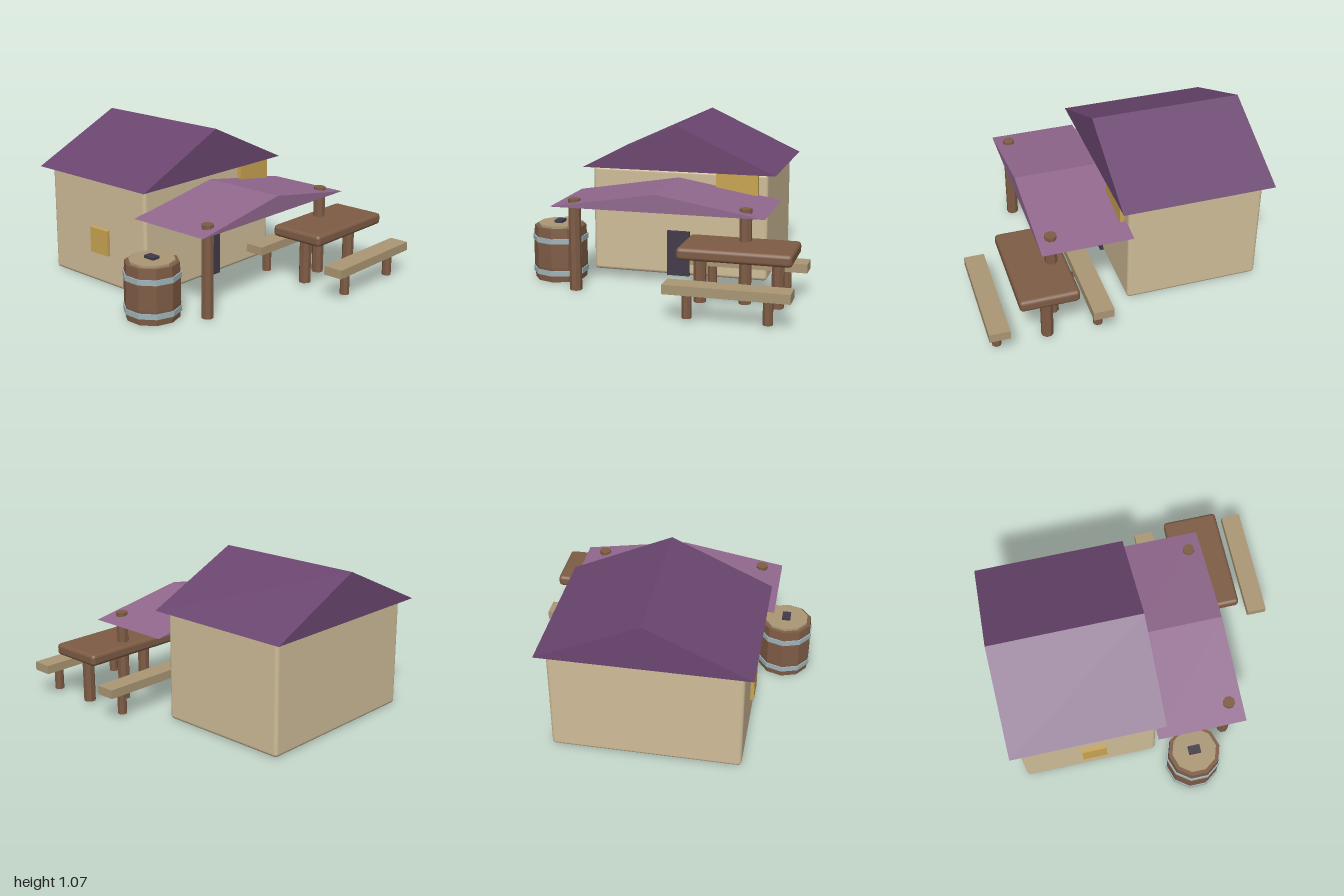
import * as THREE from 'three';
import { RoundedBoxGeometry } from 'three/addons/geometries/RoundedBoxGeometry.js';

const paint = (name, color, flatShading = false) => {
  const m = new THREE.MeshStandardMaterial({ color });
  m.name = name;
  m.flatShading = flatShading;
  return m;
};

export function createModel() {
  const plaster = paint('plaster', 0xd0bd99);
  const roofPurple = paint('roof purple', 0x6b4670, true);
  const awningPurple = paint('awning purple', 0x91688e, true);
  const wood = paint('brown wood', 0x7e5c45, true);
  const tableWood = paint('table wood', 0x7e5c45);
  const paleWood = paint('pale wood', 0xab9775, true);
  const steel = paint('hoop steel', 0x9fb4ba, true);
  const gold = paint('gold', 0xcaa552, true);
  const dark = paint('dark', 0x423b4a, true);

  const model = new THREE.Group();
  model.name = 'tavern';
  const add = (name, geometry, material, x = 0, y = 0, z = 0, parent = model) => {
    const mesh = new THREE.Mesh(geometry, material);
    mesh.name = name;
    mesh.position.set(x, y, z);
    parent.add(mesh);
    return mesh;
  };
  // Box given by its lower and upper corners
  const block = (name, material, [x0, y0, z0], [x1, y1, z1], radius = 0, parent = model) => {
    const size = [x1 - x0, y1 - y0, z1 - z0];
    const geometry = radius ? new RoundedBoxGeometry(...size, 2, radius) : new THREE.BoxGeometry(...size);
    return add(name, geometry, material, (x0 + x1) / 2, (y0 + y1) / 2, (z0 + z1) / 2, parent);
  };
  // Outline in x and y pushed out along z
  const slab = (name, material, outline, z0, z1) => {
    const shape = new THREE.Shape(outline.map(([x, y]) => new THREE.Vector2(x, y)));
    return add(name, new THREE.ExtrudeGeometry(shape, { depth: z1 - z0, bevelEnabled: false }), material, 0, 0, z0);
  };
  const pole = (name, x, z, y0, y1, r, parent = model) =>
    add(name, new THREE.CylinderGeometry(r, r, y1 - y0, 8).rotateY(Math.PI / 8), wood, x, (y0 + y1) / 2, z, parent);

  // House
  block('walls', plaster, [-0.62, 0, -0.94], [0.63, 0.75, -0.01], 0.025);
  slab('roof', roofPurple, [[-0.68, 0.75], [0.69, 0.75], [0.005, 1.065]], -1, 0.045);
  block('door', dark, [-0.075, 0, -0.03], [0.085, 0.32, 0.012]);
  block('sideWindow', gold, [-0.645, 0.22, -0.53], [-0.6, 0.4, -0.36]);
  slab('hangingSign', gold,
    [[0.28, 0.8], [0.28, 0.61], [0.425, 0.555], [0.57, 0.61], [0.57, 0.8]], 0, 0.032);

  // Awning on two posts
  slab('awning', awningPurple, [[-0.71, 0.58], [0.725, 0.58], [0.0075, 0.7]], -0.015, 0.59);
  for (const x of [-0.57, 0.585]) pole('awningPost', x, 0.5, 0, 0.625, 0.041);

  // Table with a bench on each side
  const table = new THREE.Group();
  table.name = 'table';
  model.add(table);
  block('tableTop', tableWood, [0.2, 0.335, 0.4], [0.93, 0.415, 0.79], 0.025, table);
  const legX = [0.312, 0.815];
  for (const x of legX) pole('tableLeg', x, 0.597, 0.02, 0.35, 0.041, table);
  for (const z of [0.257, 0.932]) {
    const bench = new THREE.Group();
    bench.name = 'bench';
    model.add(bench);
    block('benchSeat', paleWood, [0.17, 0.178, z - 0.068], [0.96, 0.238, z + 0.068], 0, bench);
    for (const x of legX) pole('benchLeg', x, z, 0.02, 0.19, 0.032, bench);
  }

  // Ten-sided barrel with hoops, lid and handle
  const barrel = new THREE.Group();
  barrel.name = 'barrel';
  barrel.position.set(-0.785, 0, 0.22);
  model.add(barrel);
  const staves = [[0, 0], [0.178, 0], [0.185, 0.1], [0.185, 0.27], [0.178, 0.373], [0, 0.373]]
    .map(([r, y]) => new THREE.Vector2(r, y));
  add('staves', new THREE.LatheGeometry(staves, 10), wood, 0, 0, 0, barrel);
  for (const y of [0.063, 0.289])
    add('hoop', new THREE.CylinderGeometry(0.191, 0.191, 0.036, 10), steel, 0, y, 0, barrel);
  add('lid', new THREE.CylinderGeometry(0.153, 0.153, 0.03, 10), paleWood, 0, 0.374, 0, barrel);
  add('lidHandle', new THREE.BoxGeometry(0.058, 0.03, 0.082), dark, 0, 0.392, 0, barrel);

  return model;
}
